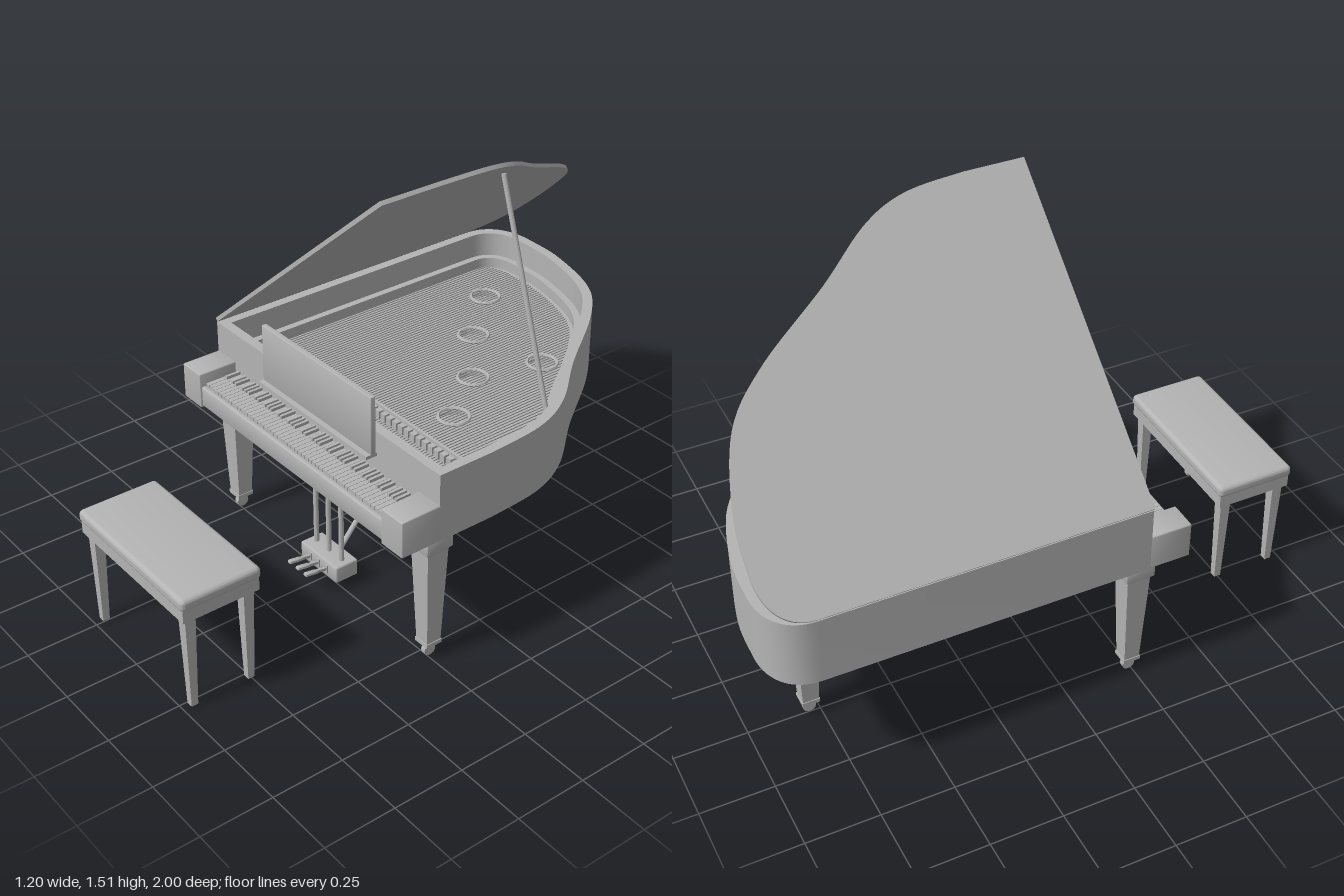
import * as THREE from 'three';
import { toCreasedNormals } from 'three/addons/utils/BufferGeometryUtils.js';
import { RoundedBoxGeometry } from 'three/addons/geometries/RoundedBoxGeometry.js';

const grey = new THREE.MeshStandardMaterial({ color: 0xb4b4b4 });
grey.name = 'plain grey';

const V2 = (x, y) => new THREE.Vector2(x, y);

function add(parent, name, geo, x = 0, y = 0, z = 0) {
  const mesh = new THREE.Mesh(toCreasedNormals(geo, 0.5), grey);
  mesh.name = name;
  mesh.position.set(x, y, z);
  parent.add(mesh);
  return mesh;
}

function group(parent, name, x = 0, y = 0, z = 0) {
  const g = new THREE.Group();
  g.name = name;
  g.position.set(x, y, z);
  parent.add(g);
  return g;
}

// box given by its limits on each axis
function box(parent, name, x0, x1, y0, y1, z0, z1, r = 0) {
  const s = [x1 - x0, y1 - y0, z1 - z0];
  const geo = r ? new RoundedBoxGeometry(...s, 3, r) : new THREE.BoxGeometry(...s);
  return add(parent, name, geo, (x0 + x1) / 2, (y0 + y1) / 2, (z0 + z1) / 2);
}

// square post tapering from width w0 at y0 to w1 at y1
function post(parent, name, x, z, y0, y1, w0, w1) {
  const geo = new THREE.CylinderGeometry(w1 * Math.SQRT1_2, w0 * Math.SQRT1_2, y1 - y0, 4);
  return add(parent, name, geo.rotateY(Math.PI / 4), x, (y0 + y1) / 2, z);
}

// round rod between two points
function rod(parent, name, a, b, r, sides = 12) {
  const A = new THREE.Vector3(...a), dir = new THREE.Vector3(...b).sub(A);
  const mesh = add(parent, name, new THREE.CylinderGeometry(r, r, dir.length(), sides));
  mesh.position.copy(A).addScaledVector(dir, 0.5);
  mesh.quaternion.setFromUnitVectors(new THREE.Vector3(0, 1, 0), dir.normalize());
  return mesh;
}

// wing-shaped plan, counter-clockwise, with plan y = -z
function planOutline() {
  const bent = new THREE.SplineCurve([
    V2(0.595, -0.05), V2(0.575, 0.16), V2(0.505, 0.32), V2(0.35, 0.51),
    V2(0.16, 0.77), V2(0, 0.912), V2(-0.24, 0.988), V2(-0.42, 1)]);
  const tail = new THREE.CubicBezierCurve(V2(-0.42, 1), V2(-0.52, 1), V2(-0.597, 0.95), V2(-0.597, 0.85));
  return [V2(-0.597, -0.26), V2(0.595, -0.26), ...bent.getSpacedPoints(48), ...tail.getPoints(14).slice(1)];
}

function inset(pts, d) {
  const n = pts.length;
  return pts.map((p, i) => {
    const a = p.clone().sub(pts[(i + n - 1) % n]).normalize();
    const b = pts[(i + 1) % n].clone().sub(p).normalize();
    const na = V2(-a.y, a.x), nb = V2(-b.y, b.x);
    return na.clone().add(nb).multiplyScalar(d / (1 + na.dot(nb))).add(p);
  });
}

function slab(parent, name, pts, y0, y1, holes = []) {
  const shape = new THREE.Shape(pts);
  shape.holes = holes;
  const geo = new THREE.ExtrudeGeometry(shape, { depth: y1 - y0, bevelEnabled: false, curveSegments: 24 });
  return add(parent, name, geo.rotateX(-Math.PI / 2), 0, y0, 0);
}

// farthest plan y of the outline at a given x
function reach(pts, x) {
  let best = -1;
  pts.forEach((p, i) => {
    const q = pts[(i + 1) % pts.length];
    if ((p.x - x) * (q.x - x) <= 0 && p.x !== q.x)
      best = Math.max(best, p.y + (q.y - p.y) * (x - p.x) / (q.x - p.x));
  });
  return best;
}

function buildCase(parent, outline) {
  const body = group(parent, 'case');
  const inner = inset(outline, 0.035), ledge = inset(outline, 0.06);
  slab(body, 'rim', outline, 0.485, 0.725, [new THREE.Path(inner)]);
  slab(body, 'innerLedge', inner, 0.58, 0.635, [new THREE.Path(ledge)]);
  slab(body, 'bottomBoard', inner, 0.486, 0.57);

  // iron plate with ringed round holes
  const spots = [[-0.34, 0.73], [-0.15, 0.51], [0.07, 0.32], [0.22, 0.11], [0.14, 0.57]];
  slab(body, 'plate', inner, 0.58, 0.595, spots.map(([x, y]) =>
    new THREE.Path().absarc(x, y, 0.05, 0, Math.PI * 2, true)));
  for (const [x, y] of spots)
    add(body, 'plateRing', new THREE.TorusGeometry(0.052, 0.006, 6, 32).rotateX(Math.PI / 2), x, 0.604, -y);

  // strings, tuning pins, dampers and cross bars
  const strings = group(body, 'strings');
  for (let x = -0.52; x < 0.52; x += 0.013) {
    const far = reach(ledge, x) - 0.02;
    if (far > -0.1) box(strings, 'string', x - 0.0017, x + 0.0017, 0.6, 0.604, -far, 0.15);
  }
  for (let x = -0.5; x < 0.5; x += 0.03) {
    add(body, 'tuningPin', new THREE.CylinderGeometry(0.004, 0.004, 0.035, 6), x, 0.61, 0.17);
    if (x < 0.48) box(body, 'damper', x - 0.011, x + 0.011, 0.6, 0.63, 0.07, 0.09);
  }
  box(body, 'damperRail', -0.52, 0.48, 0.625, 0.635, 0.055, 0.065);
  box(body, 'pinBar', -0.54, 0.54, 0.595, 0.62, 0.2, 0.215);
}

function buildKeyboard(parent) {
  const board = group(parent, 'keyboard');
  box(board, 'keyBed', -0.5, 0.5, 0.486, 0.555, 0.25, 0.385);
  box(board, 'keySlip', -0.5, 0.5, 0.49, 0.565, 0.38, 0.398, 0.006);
  for (const s of [-1, 1])
    box(board, 'keyBlock', s * 0.545 - 0.051, s * 0.545 + 0.051, 0.485, 0.615, 0.25, 0.405, 0.005);
  const pitch = 0.98 / 52;
  for (let i = 0; i < 52; i++) {
    const x = -0.49 + i * pitch;
    box(board, 'whiteKey', x + 0.0008, x + pitch - 0.0008, 0.555, 0.577, 0.255, 0.383);
    // no black key after B and E, counting from the low A
    if (i < 51 && ![1, 4].includes(i % 7))
      box(board, 'blackKey', x + pitch - 0.005, x + pitch + 0.005, 0.57, 0.588, 0.255, 0.315);
  }
}

function buildMusicDesk(parent) {
  const desk = group(parent, 'musicDesk');
  box(desk, 'deskPanel', -0.29, 0.29, 0.645, 0.855, 0.265, 0.284, 0.003);
  box(desk, 'deskLedge', -0.29, 0.29, 0.638, 0.65, 0.255, 0.303);
}

function buildLid(parent, outline) {
  // lid swings on the straight side
  const lid = group(parent, 'lid', -0.595, 0.727, 0);
  slab(lid, 'lidPanel', outline.map(p => V2(p.x + 0.597, p.y)), 0, 0.014);
  lid.rotation.z = 0.704;
  rod(parent, 'lidProp', [0.465, 0.66, -0.29], [0.22, 1.413, -0.29], 0.0085);
}

function buildLeg(parent, name, x, z) {
  const leg = group(parent, name, x, 0, z);
  box(leg, 'legBlock', -0.052, 0.052, 0.428, 0.487, -0.052, 0.052, 0.005);
  post(leg, 'legNeck', 0, 0, 0.415, 0.43, 0.078, 0.096);
  post(leg, 'legShaft', 0, 0, 0.055, 0.42, 0.054, 0.082);
  box(leg, 'legCuff', -0.03, 0.03, 0.05, 0.064, -0.03, 0.03);
  rod(leg, 'casterStem', [0, 0.03, 0], [0, 0.052, 0], 0.012);
  rod(leg, 'casterWheel', [-0.009, 0.022, 0], [0.009, 0.022, 0], 0.022, 20);
}

function buildPedals(parent) {
  const lyre = group(parent, 'pedalLyre');
  box(lyre, 'pedalBox', -0.1, 0.1, 0.04, 0.102, 0.195, 0.285, 0.006);
  for (const s of [-1, 0, 1]) {
    rod(lyre, 'lyreRod', [s * 0.07, 0.095, 0.24], [s * 0.07, 0.49, 0.24], 0.009);
    const pedal = group(lyre, 'pedal', s * 0.045, 0.072, 0.28);
    pedal.rotation.x = -0.15;
    box(pedal, 'pedalArm', -0.005, 0.005, -0.005, 0.005, -0.01, 0.06);
    box(pedal, 'pedalPad', -0.009, 0.009, -0.006, 0.006, 0.045, 0.095, 0.004);
    box(lyre, 'pedalSlot', s * 0.045 - 0.009, s * 0.045 + 0.009, 0.058, 0.088, 0.284, 0.289);
  }
  rod(lyre, 'lyreBrace', [0, 0.08, 0.2], [0, 0.49, -0.145], 0.009);
}

function buildBench(parent) {
  const bench = group(parent, 'bench', 0, 0, 0.855);
  box(bench, 'cushion', -0.304, 0.304, 0.384, 0.428, -0.144, 0.144, 0.016);
  box(bench, 'apron', -0.296, 0.296, 0.341, 0.388, -0.137, 0.137);
  for (const x of [-0.265, 0.265])
    for (const z of [-0.105, 0.105])
      post(bench, 'benchLeg', x, z, 0, 0.345, 0.024, 0.038);
}

export function createModel() {
  const model = new THREE.Group();
  model.name = 'grandPianoAndBench';
  const outline = planOutline();
  buildCase(model, outline);
  buildKeyboard(model);
  buildMusicDesk(model);
  buildLid(model, outline);
  buildLeg(model, 'rightFrontLeg', -0.527, 0.24);
  buildLeg(model, 'leftFrontLeg', 0.527, 0.24);
  buildLeg(model, 'rearLeg', -0.24, -0.785);
  buildPedals(model);
  buildBench(model);
  return model;
}
